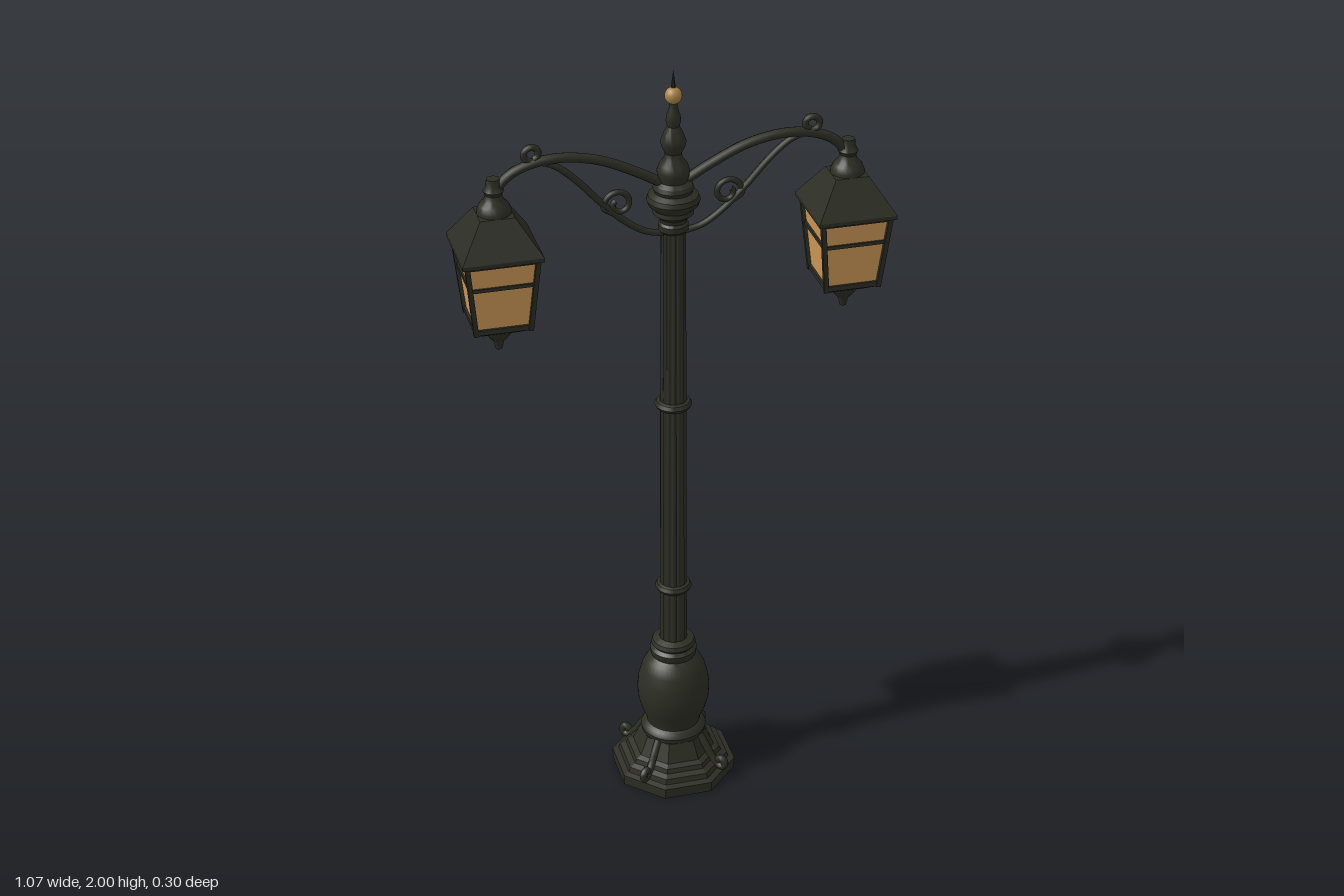
import * as THREE from 'three';
import { toCreasedNormals } from 'three/addons/utils/BufferGeometryUtils.js';

const iron = new THREE.MeshStandardMaterial({ color: 0x2c2d23 });
const glass = new THREE.MeshStandardMaterial({ color: 0xd09a58 });
const brass = new THREE.MeshStandardMaterial({ color: 0xa88345 });
iron.name = 'dark iron';
glass.name = 'amber glass';
brass.name = 'brass';

function add(parent, name, geometry, material = iron) {
  const mesh = new THREE.Mesh(geometry, material);
  mesh.name = name;
  parent.add(mesh);
  return mesh;
}

const vec2 = (pts) => pts.map(([x, y]) => new THREE.Vector2(x, y));

// Round turned part; profile runs from bottom to top
const turned = (pts, segments = 32) => toCreasedNormals(new THREE.LatheGeometry(vec2(pts), segments), 0.6);

// Flat-sided turned part; profile gives the distance to each flat
function faceted(pts, sides) {
  const k = 1 / Math.cos(Math.PI / sides);
  const profile = vec2(pts.map(([r, y]) => [r * k, y]));
  const g = new THREE.LatheGeometry(profile, sides, Math.PI / sides).toNonIndexed();
  g.computeVertexNormals();
  return g;
}

// Bent rod through points in the xy plane
function rod(pts, radius, segments = 48) {
  const curve = new THREE.CatmullRomCurve3(pts.map(([x, y]) => new THREE.Vector3(x, y, 0)));
  return new THREE.TubeGeometry(curve, segments, radius, 8);
}

// Straight square bar between two points
function bar(parent, name, a, b, width) {
  const from = new THREE.Vector3(...a), to = new THREE.Vector3(...b);
  const dir = to.clone().sub(from);
  const mesh = add(parent, name, new THREE.BoxGeometry(width, dir.length() + width * 0.5, width));
  mesh.position.copy(from).add(to).multiplyScalar(0.5);
  mesh.quaternion.setFromUnitVectors(new THREE.Vector3(0, 1, 0), dir.normalize());
}

// Tapering shaft with vertical flutes
function flutedShaft() {
  const flutes = 14, steps = 4;
  const g = new THREE.CylinderGeometry(0.031, 0.036, 1.22, flutes * steps, 1, true);
  const p = g.attributes.position;
  for (let i = 0; i < p.count; i++) {
    const a = Math.atan2(p.getZ(i), p.getX(i));
    const s = 0.92 + 0.08 * Math.cos(a * flutes);
    p.setX(i, p.getX(i) * s);
    p.setZ(i, p.getZ(i) * s);
  }
  g.computeVertexNormals();
  return g.translate(0, 0.99, 0);
}

function lantern() {
  const group = new THREE.Group();
  group.name = 'lantern';
  add(group, 'roof', faceted([[0, 1.592], [0.098, 1.592], [0.098, 1.602], [0.042, 1.688], [0, 1.69]], 4));
  add(group, 'roofCap', turned([[0.042, 1.68], [0.042, 1.695], [0.036, 1.71], [0.024, 1.722], [0.02, 1.735],
    [0.025, 1.745], [0.018, 1.756], [0.016, 1.775], [0, 1.778]], 20));
  add(group, 'glassPanes', faceted([[0.064, 1.41], [0.083, 1.596]], 4), glass);
  add(group, 'floor', faceted([[0, 1.385], [0.04, 1.385], [0.068, 1.402], [0.068, 1.412], [0, 1.412]], 4));
  add(group, 'pendant', turned([[0, 1.322], [0.008, 1.327], [0.011, 1.338], [0.013, 1.348], [0.026, 1.362],
    [0.036, 1.378], [0.04, 1.388]], 16));
  // Frame: corner posts and rails on all four sides
  const half = (y) => 0.067 + (y - 1.41) * 0.1;
  for (let i = 0; i < 4; i++) {
    const side = new THREE.Group();
    side.name = 'frameSide';
    side.rotation.y = i * Math.PI / 2;
    group.add(side);
    const b = half(1.405), t = half(1.595);
    bar(side, 'cornerPost', [b, 1.405, b], [t, 1.595, t], 0.012);
    for (const [y, w] of [[1.411, 0.011], [1.527, 0.009], [1.59, 0.011]]) {
      const h = half(y) - 0.002;
      bar(side, 'rail', [-h, y, h], [h, y, h], w);
    }
  }
  return group;
}

// One arm with its brace, scrolls and lantern, reaching towards +x
function arm() {
  const group = new THREE.Group();
  group.name = 'lampArm';
  add(group, 'upperArm', rod([[0.02, 1.71], [0.09, 1.75], [0.18, 1.791], [0.27, 1.808], [0.34, 1.802],
    [0.395, 1.78], [0.427, 1.745], [0.436, 1.71]], 0.0125));
  add(group, 'brace', rod([[0.025, 1.582], [0.07, 1.593], [0.12, 1.626], [0.18, 1.684], [0.235, 1.745],
    [0.285, 1.788], [0.325, 1.804], [0.355, 1.812], [0.361, 1.829], [0.345, 1.843], [0.328, 1.836],
    [0.327, 1.82], [0.336, 1.812]], 0.0085, 80));
  // Spiral scroll tucked above the brace
  const spiral = [[0.175, 1.678]];
  for (let i = 0; i <= 16; i++) {
    const a = -0.2 + i * 0.46, r = 0.037 - i * 0.0016;
    spiral.push([0.134 + r * Math.cos(a), 1.672 + r * Math.sin(a)]);
  }
  spiral[0] = [0.15, 1.65];
  add(group, 'scroll', rod(spiral, 0.0075, 64));
  const lamp = lantern();
  lamp.position.x = 0.435;
  group.add(lamp);
  return group;
}

export function createModel() {
  const model = new THREE.Group();
  model.name = 'streetLamp';

  // Stepped octagonal foot
  add(model, 'plinth', faceted([[0, 0], [0.152, 0], [0.152, 0.028], [0.137, 0.032], [0.133, 0.046],
    [0.118, 0.052], [0.114, 0.064], [0.1, 0.07], [0.08, 0.118], [0, 0.12]], 8));
  // Scroll feet on the diagonals
  for (let i = 0; i < 4; i++) {
    const foot = add(model, 'scrollFoot', rod([[0.08, 0.122], [0.1, 0.092], [0.118, 0.062], [0.138, 0.042],
      [0.154, 0.042], [0.157, 0.056], [0.145, 0.065], [0.136, 0.056]], 0.01, 32));
    foot.rotation.y = Math.PI / 4 + i * Math.PI / 2;
  }
  // Vase-shaped lower column
  add(model, 'vase', turned([[0.075, 0.112], [0.084, 0.12], [0.086, 0.132], [0.08, 0.144], [0.07, 0.15],
    [0.073, 0.165], [0.085, 0.195], [0.093, 0.225], [0.095, 0.255], [0.092, 0.285], [0.083, 0.32],
    [0.07, 0.345], [0.056, 0.357], [0.06, 0.364], [0.061, 0.378], [0.052, 0.386], [0.058, 0.394],
    [0.054, 0.405], [0.036, 0.412]], 40));
  add(model, 'shaft', flutedShaft());
  for (const y of [0.57, 1.11]) {
    const ring = add(model, 'shaftRing', turned([[0.034, -0.012], [0.042, -0.009], [0.047, 0],
      [0.042, 0.009], [0.034, 0.012]]));
    ring.position.y = y;
  }
  // Capital and stacked finial
  add(model, 'capital', turned([[0.03, 1.585], [0.037, 1.592], [0.037, 1.606], [0.032, 1.612], [0.034, 1.622],
    [0.05, 1.635], [0.048, 1.646], [0.061, 1.658], [0.065, 1.67], [0.061, 1.682], [0.046, 1.69],
    [0.05, 1.7], [0.046, 1.71], [0.034, 1.718], [0.038, 1.732], [0.04, 1.745], [0.034, 1.762],
    [0.022, 1.778], [0.02, 1.79], [0.029, 1.808], [0.031, 1.82], [0.024, 1.84], [0.015, 1.858],
    [0.018, 1.872], [0.017, 1.885], [0.01, 1.905], [0.009, 1.92]]));
  const ball = add(model, 'finialBall', new THREE.SphereGeometry(0.021, 24, 16), brass);
  ball.position.y = 1.935;
  add(model, 'finialSpike', turned([[0.006, 1.95], [0.004, 1.97], [0, 2]], 10));

  // Mirrored pair of arms
  for (const turn of [0, Math.PI]) {
    const side = arm();
    side.rotation.y = turn;
    model.add(side);
  }
  return model;
}
